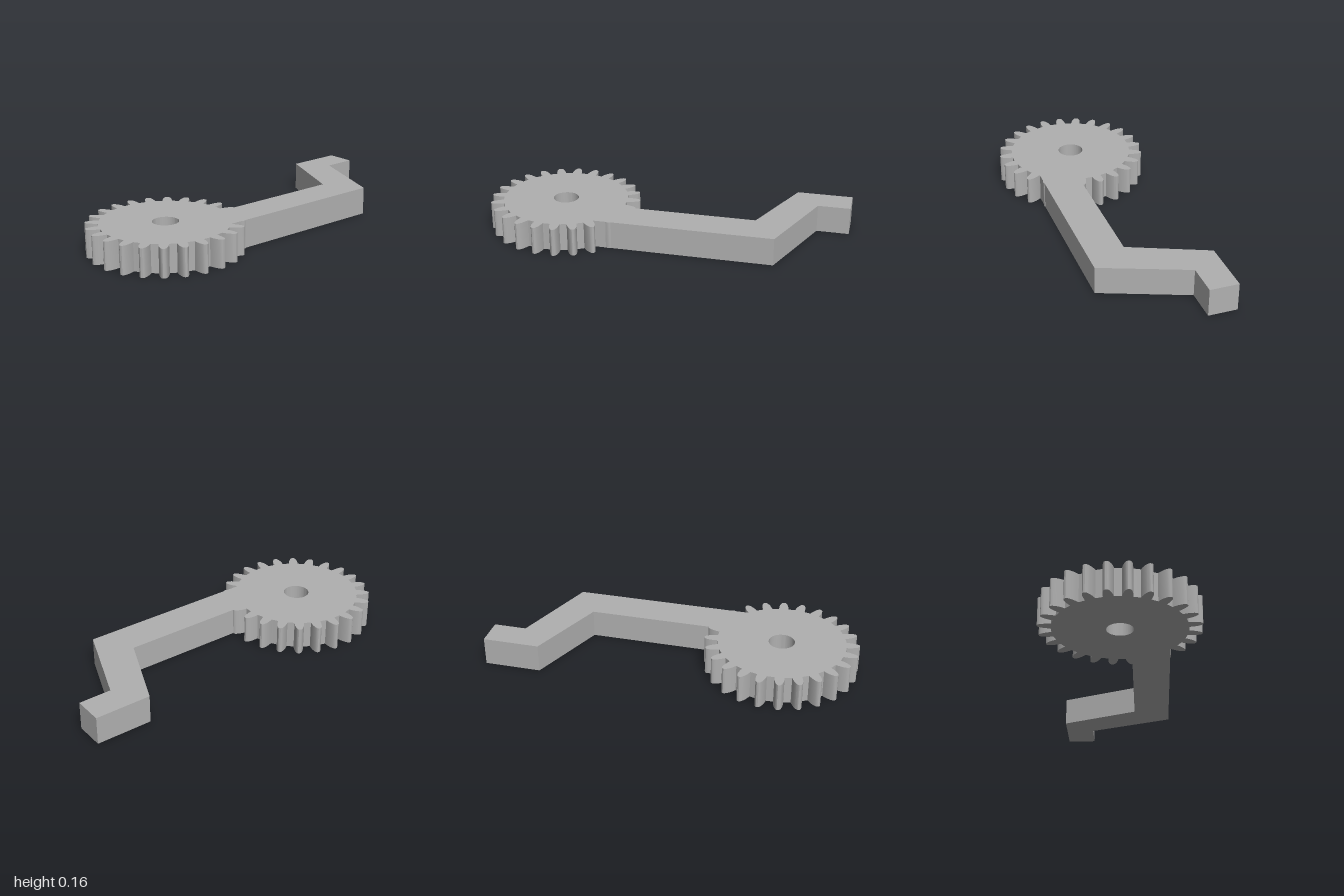
import * as THREE from 'three';
import { toCreasedNormals } from 'three/addons/utils/BufferGeometryUtils.js';

const HEIGHT = 0.155;
const GEAR_Z = 0.58;
const TEETH = 24;
const ROOT = 0.35;
const HOLE = 0.071;

// Extrudes an outline drawn in (x, z) so that it stands on y = 0.
function slab(shape, creaseAngle) {
  const geometry = new THREE.ExtrudeGeometry(shape, { depth: HEIGHT, bevelEnabled: false, curveSegments: 48 });
  geometry.rotateX(Math.PI / 2).translate(0, HEIGHT, 0);
  return toCreasedNormals(geometry, creaseAngle);
}

function gearShape() {
  // One flank of a tooth: radial distance and half width, root to tip.
  const flank = [[ROOT, 0.0265], [0.365, 0.026], [0.38, 0.0242], [0.395, 0.021], [0.408, 0.0165], [0.417, 0.0115], [0.4215, 0.005]];
  const tooth = [
    ...flank.map(([r, w]) => [r, -w]),
    ...flank.slice().reverse(),
  ];
  const points = [];
  const step = (Math.PI * 2) / TEETH;
  for (let i = 0; i < TEETH; i++) {
    const a = (i + 0.5) * step;
    for (const [r, w] of tooth) {
      points.push(new THREE.Vector2(r * Math.cos(a) - w * Math.sin(a), r * Math.sin(a) + w * Math.cos(a)));
    }
    // Midpoint of the gap keeps the root circle round
    const gap = a + step / 2;
    points.push(new THREE.Vector2(ROOT * Math.cos(gap), ROOT * Math.sin(gap)));
  }
  const shape = new THREE.Shape(points);
  shape.holes.push(new THREE.Path().absarc(0, 0, HOLE, 0, Math.PI * 2, true));
  return shape;
}

export function createModel() {
  const grey = new THREE.MeshStandardMaterial({ color: 0xb0b0b0 });
  grey.name = 'grey';
  const model = new THREE.Group();
  model.name = 'gearCrank';

  // Toothed wheel with axle hole
  const gear = new THREE.Mesh(slab(gearShape(), 0.6), grey);
  gear.name = 'gear';
  gear.position.z = GEAR_Z;
  model.add(gear);

  // Bent crank arm, its lower end sunk into the wheel
  const outline = [
    [-0.37, -1], [-0.21, -1], [-0.21, -0.82], [0.258, -0.64],
    [0.258, 0.365], [0.055, 0.26], [0.055, -0.51], [-0.37, -0.69],
  ].map(([x, z]) => new THREE.Vector2(x, z));
  const arm = new THREE.Mesh(slab(new THREE.Shape(outline), 0.1), grey);
  arm.name = 'crankArm';
  model.add(arm);

  return model;
}
